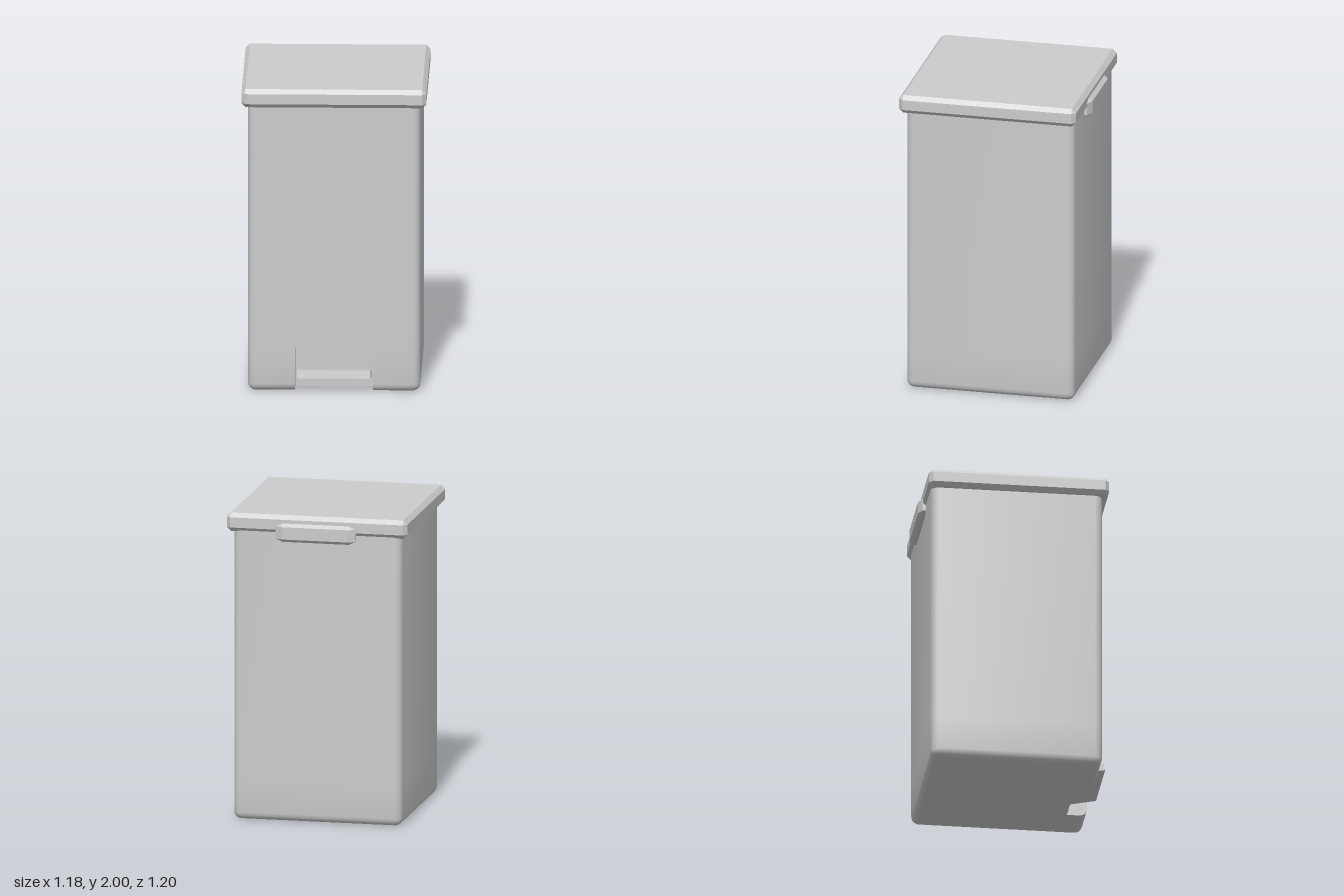
import * as THREE from 'three';
import { toCreasedNormals } from 'three/addons/utils/BufferGeometryUtils.js';
import { ConvexGeometry } from 'three/addons/geometries/ConvexGeometry.js';

const HALF = 0.55, ZC = -0.005, R = 0.05, SEG = 4;
const FRONT = ZC + HALF, NOTCH_X = 0.25, NOTCH_Z = 0.415;

// Rounded-square cross-section whose front edge steps back into the pedal recess
function section(y, inset, notchZ = NOTCH_Z, notchY = y) {
  const f = FRONT - inset, c = HALF - R, rad = R - inset;
  const pts = [
    [-NOTCH_X, y, f], [-NOTCH_X, notchY, notchZ],
    [NOTCH_X, notchY, notchZ], [NOTCH_X, y, f],
  ];
  [[1, 1], [1, -1], [-1, -1], [-1, 1]].forEach(([sx, sz], q) => {
    for (let i = 0; i <= SEG; i++) {
      const a = (q + i / SEG) * Math.PI / 2;
      pts.push([sx * c + rad * Math.sin(a), y, ZC + sz * c + rad * Math.cos(a)]);
    }
  });
  return pts.map(p => new THREE.Vector3(...p));
}

function bodyGeometry() {
  const loops = [];
  // rounded bottom edge
  for (let i = 0; i <= SEG; i++) {
    const a = (i / SEG) * Math.PI / 2;
    loops.push(section(R * (1 - Math.cos(a)), (R - 0.002) * (1 - Math.sin(a))));
  }
  // recess walls, sloping recess ceiling, plain upper walls
  loops.push(section(0.27, 0), section(0.29, 0, FRONT), section(1.93, 0, FRONT));

  const pos = [];
  const tri = (a, b, c) => {
    if (new THREE.Triangle(a, b, c).getArea() > 1e-8) {
      for (const v of [a, b, c]) pos.push(v.x, v.y, v.z);
    }
  };
  const n = loops[0].length;
  for (let k = 0; k < loops.length - 1; k++) {
    const lo = loops[k], up = loops[k + 1];
    for (let i = 0; i < n; i++) {
      const j = (i + 1) % n;
      tri(lo[i], lo[j], up[j]);
      tri(lo[i], up[j], up[i]);
    }
  }
  // floor and top
  const floor = loops[0], top = loops[loops.length - 1];
  const flat = floor.map(v => new THREE.Vector2(v.x, -v.z));
  for (const [a, b, c] of THREE.ShapeUtils.triangulateShape(flat, [])) tri(floor[a], floor[c], floor[b]);
  const centre = new THREE.Vector3(0, top[0].y, ZC);
  for (let i = 0; i < n; i++) tri(centre, top[i], top[(i + 1) % n]);

  const g = new THREE.BufferGeometry();
  g.setAttribute('position', new THREE.Float32BufferAttribute(pos, 3));
  return toCreasedNormals(g, 0.5);
}

// Box with every edge cut off, bevel given per axis
function chamferBox(w, h, d, bx, by, bz) {
  const pts = [];
  for (const sx of [-1, 1]) for (const sy of [-1, 1]) for (const sz of [-1, 1]) {
    const x = w / 2, y = h / 2, z = d / 2;
    for (const [px, py, pz] of [[x, y - by, z - bz], [x - bx, y, z - bz], [x - bx, y - by, z]]) {
      pts.push(new THREE.Vector3(sx * px, sy * py, sz * pz));
    }
  }
  return new ConvexGeometry(pts);
}

export function createModel() {
  const group = new THREE.Group();
  const smooth = new THREE.MeshStandardMaterial({ color: 0xcccccc });
  const faceted = new THREE.MeshStandardMaterial({ color: 0xcccccc, flatShading: true });
  const add = (name, geometry, material, x, y, z) => {
    const mesh = new THREE.Mesh(geometry, material);
    mesh.name = name;
    mesh.position.set(x, y, z);
    group.add(mesh);
    return mesh;
  };

  add('body', bodyGeometry(), smooth, 0, 0, 0);
  add('lid', chamferBox(1.18, 0.12, 1.16, 0.027, 0.027, 0.027), faceted, 0, 1.94, 0.005);
  add('hingeCover', chamferBox(0.52, 0.12, 0.1, 0.045, 0.02, 0.024), faceted, 0.004, 1.89, -0.55);

  // foot pedal, tilted up toward the front
  const pedal = add('pedal', new THREE.BoxGeometry(0.47, 0.05, 0.19), faceted, 0, 0.107, 0.502);
  pedal.rotation.x = -0.2;
  return group;
}
